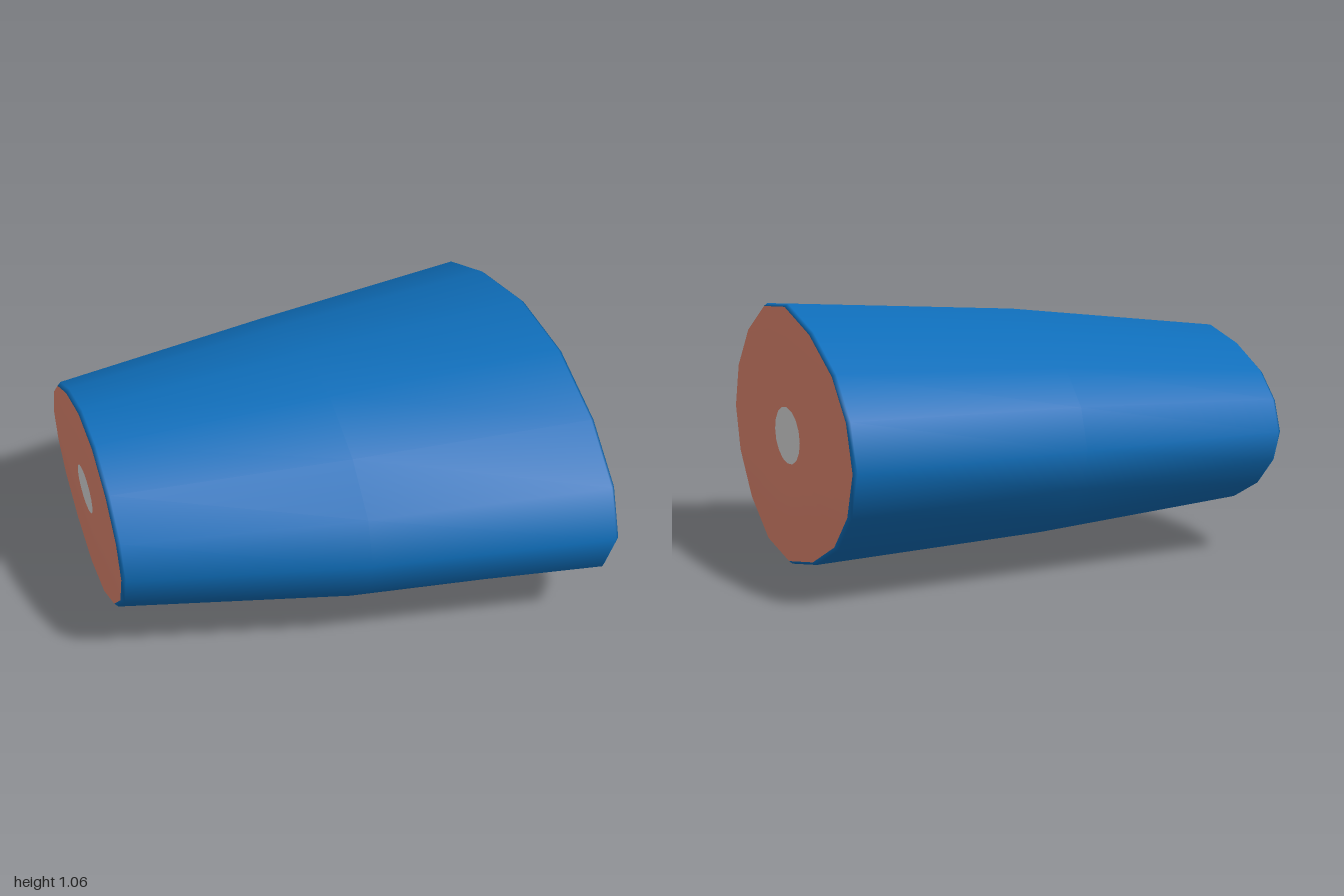
import * as THREE from 'three';

// Upper half of the 16-sided cross-section, as [z, y] on a unit oval
const UPPER = [[1, 0], [0.92, 0.37], [0.7, 0.71], [0.375, 0.955], [0, 1],
  [-0.4, 0.85], [-0.73, 0.61], [-0.92, 0.33], [-1, 0]];
const SECTION = [...UPPER, ...UPPER.slice(1, -1).reverse().map(([z, y]) => [z, -y])];
const N = SECTION.length;
const OVAL = SECTION.map((_, i) => [Math.cos(i * 2 * Math.PI / N), Math.sin(i * 2 * Math.PI / N)]);
const MID_Y = 0.535;

// Rings along the length: x, centre z, half depth, half height, outline
const RINGS = [
  [-0.96, 0, 0, 0, OVAL],
  [-0.96, 0, 0.132, 0.084, OVAL],
  [-0.96, 0.005, 0.612, 0.374, SECTION],
  [-0.945, 0.005, 0.625, 0.39, SECTION],
  [-0.02, 0.025, 0.826, 0.484, SECTION],
  [0.945, 0, 1, 0.532, SECTION],
  [0.96, 0, 0.988, 0.52, SECTION],
  [0.96, -0.005, 0.212, 0.115, OVAL],
  [0.96, -0.005, 0, 0, OVAL],
];

export function createModel() {
  const group = new THREE.Group();
  const material = (name, color) => new THREE.MeshStandardMaterial({ name, color });
  const blue = material('blue skin', 0x0f6eba);
  const salmon = material('salmon flesh', 0xe58a72);
  const grey = material('pale bone', 0xdedede);

  const positions = [];
  for (const [x, cz, rz, ry, outline] of RINGS) {
    for (const [z, y] of outline) positions.push(x, MID_Y + y * ry, cz + z * rz);
  }

  // Faces between consecutive rings, leaving out collapsed triangles
  const band = (from, to) => {
    const index = [];
    for (let r = from; r < to; r++) {
      for (let i = 0; i < N; i++) {
        const k = (i + 1) % N;
        const a = r * N + i, b = r * N + k, c = a + N, d = b + N;
        if (RINGS[r][2] > 0) index.push(a, c, b);
        if (RINGS[r + 1][2] > 0) index.push(c, d, b);
      }
    }
    return index;
  };

  // Smooth normals shared by every part, so shading rolls over the cut edges
  const whole = new THREE.BufferGeometry();
  whole.setAttribute('position', new THREE.Float32BufferAttribute(positions, 3));
  whole.setIndex(band(0, RINGS.length - 1));
  whole.computeVertexNormals();

  const addPart = (name, from, to, mat) => {
    const geometry = new THREE.BufferGeometry();
    geometry.setAttribute('position', whole.attributes.position);
    geometry.setAttribute('normal', whole.attributes.normal);
    geometry.setIndex(band(from, to));
    const mesh = new THREE.Mesh(geometry, mat);
    mesh.name = name;
    group.add(mesh);
  };

  addPart('smallBone', 0, 1, grey);
  addPart('smallCutFace', 1, 2, salmon);
  addPart('skin', 2, 6, blue);
  addPart('largeCutFace', 6, 7, salmon);
  addPart('largeBone', 7, 8, grey);

  group.name = 'fishSteak';
  return group;
}
